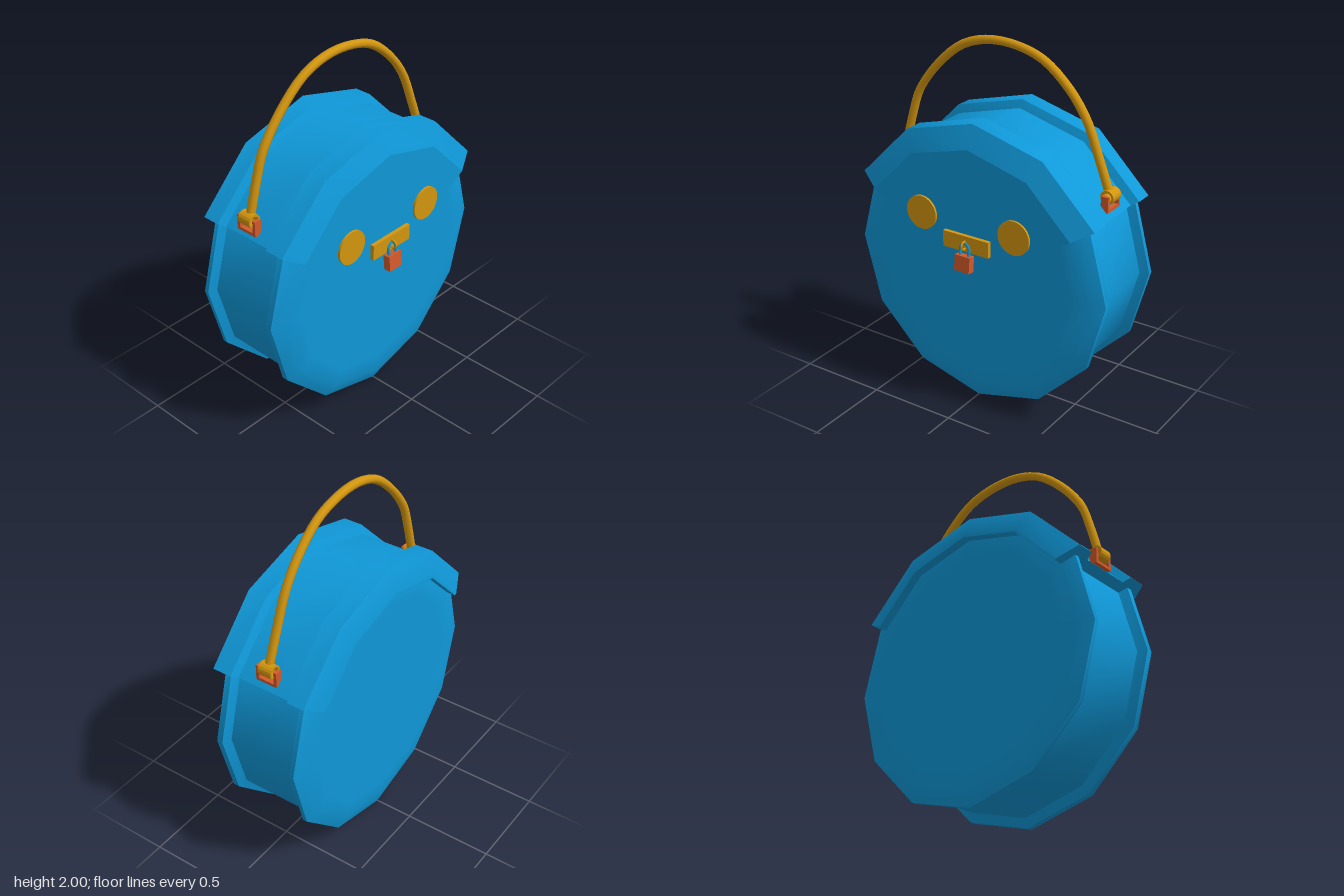
import * as THREE from 'three';
import { toCreasedNormals } from 'three/addons/utils/BufferGeometryUtils.js';

const CY = 0.785; // height of the round body's centre

export function createModel() {
  const group = new THREE.Group();
  const blue = new THREE.MeshStandardMaterial({ color: 0x0f98d8, side: THREE.DoubleSide });
  blue.name = 'blue leather';
  const gold = new THREE.MeshStandardMaterial({ color: 0xd3960f, side: THREE.DoubleSide });
  gold.name = 'gold metal';
  const red = new THREE.MeshStandardMaterial({ color: 0xd2592a });
  red.name = 'copper metal';

  const add = (name, geo, mat, x = 0, y = 0, z = 0, parent = group) => {
    const mesh = new THREE.Mesh(geo, mat);
    mesh.name = name;
    mesh.position.set(x, y, z);
    parent.add(mesh);
    return mesh;
  };
  const box = (w, h, d) => new THREE.BoxGeometry(w, h, d);
  const vectors = (pts) => pts.map(([x, y]) => new THREE.Vector2(x, y));

  // Turns a (radius, z) profile about the z axis in 30 degree facets
  const turn = (pts, start, steps) => {
    const geo = new THREE.LatheGeometry(vectors(pts), steps, start, steps * Math.PI / 6);
    geo.rotateX(Math.PI / 2);
    return toCreasedNormals(geo, 0.6);
  };

  // Twelve-sided body with a rim at front and back
  add('body', turn([
    [0, -0.31], [0.6, -0.31], [0.70, -0.31], [0.78, -0.28], [0.78, -0.255], [0.73, -0.24],
    [0.73, 0.155], [0.78, 0.175], [0.78, 0.21], [0.70, 0.25], [0.6, 0.25], [0, 0.25],
  ], 0, 12), blue, 0, CY);

  // Flap wrapped over the top third of the body
  const flap = new THREE.Group();
  flap.name = 'flap';
  group.add(flap);
  const profile = [
    [0.70, 0.299], [0.70, -0.36], [0.715, -0.36], [0.835, -0.31], [0.835, -0.21], [0.79, -0.19],
    [0.79, 0.12], [0.835, 0.14], [0.835, 0.25], [0.71, 0.30],
  ];
  add('flapTop', turn(profile, 2 * Math.PI / 3, 4), blue, 0, CY, 0, flap);
  for (const angle of [Math.PI / 6, 5 * Math.PI / 6]) {
    const end = new THREE.ShapeGeometry(new THREE.Shape(vectors(profile)));
    end.rotateX(Math.PI / 2).rotateZ(angle);
    add('flapEnd', end, blue, 0, CY, 0, flap);
  }

  // Flap front hanging down to a shallow point
  const half = [[0.355, 1.4], [0.615, 1.14], [0.3, 0.96], [0.1, 0.917]];
  const outline = [[0, 1.495], ...half, [0, 0.91], ...half.map(([x, y]) => [-x, y]).reverse()];
  add('flapFront', new THREE.ExtrudeGeometry(new THREE.Shape(vectors(outline)),
    { depth: 0.06, bevelEnabled: false }), blue, 0, 0, 0.24, flap);

  // Round studs
  for (const side of [-1, 1]) {
    const disc = new THREE.CylinderGeometry(0.095, 0.095, 0.012, 32).rotateX(Math.PI / 2);
    add('stud', disc, gold, side * 0.29, 1.085, 0.308);
  }

  // Latch plate with its staple
  add('latchPlate', box(0.285, 0.09, 0.022), gold, 0.002, 0.98, 0.314);
  const staple = new THREE.TorusGeometry(0.022, 0.006, 8, 16).rotateY(Math.PI / 2);
  add('staple', staple, gold, 0, 0.975, 0.335);

  // Padlock, hanging at a slight tilt
  const padlock = new THREE.Group();
  padlock.name = 'padlock';
  padlock.position.set(0, 0.875, 0.336);
  padlock.rotation.x = -0.1;
  group.add(padlock);
  add('padlockBody', box(0.094, 0.088, 0.042), red, 0, 0, 0, padlock);
  const shackle = new THREE.CatmullRomCurve3([[-0.025, 0.03], [-0.025, 0.09], [0, 0.112],
    [0.025, 0.09], [0.025, 0.03]].map(([x, y]) => new THREE.Vector3(x, y, 0)));
  add('shackle', new THREE.TubeGeometry(shackle, 20, 0.008, 8), blue, 0, 0, 0, padlock);

  // Arched handle
  const arch = new THREE.CatmullRomCurve3([
    [-0.65, 1.30], [-0.60, 1.48], [-0.55, 1.62], [-0.405, 1.805], [-0.24, 1.93], [-0.035, 1.976],
    [0.21, 1.932], [0.375, 1.81], [0.49, 1.66], [0.57, 1.47], [0.635, 1.30],
  ].map(([x, y]) => new THREE.Vector3(x, y, -0.04)));
  add('handle', new THREE.TubeGeometry(arch, 40, 0.024, 8), gold);

  // Handle loops held by copper brackets
  for (const x of [-0.66, 0.645]) {
    const mount = new THREE.Group();
    mount.name = 'handleMount';
    mount.position.set(x, 1.28, -0.042);
    group.add(mount);
    const ring = new THREE.Shape().absarc(0, 0, 0.038, 0, Math.PI * 2);
    ring.holes.push(new THREE.Path().absarc(0, 0, 0.026, 0, Math.PI * 2, true));
    add('handleLoop', new THREE.ExtrudeGeometry(ring,
      { depth: 0.08, bevelEnabled: false, curveSegments: 8 }), gold, 0, 0, -0.04, mount);
    for (const z of [-0.054, 0.054]) {
      add('bracketLeg', box(0.042, 0.085, 0.018), red, 0, -0.03, z, mount);
    }
    add('bracketBase', box(0.042, 0.016, 0.126), red, 0, -0.066, 0, mount);
  }
  return group;
}
